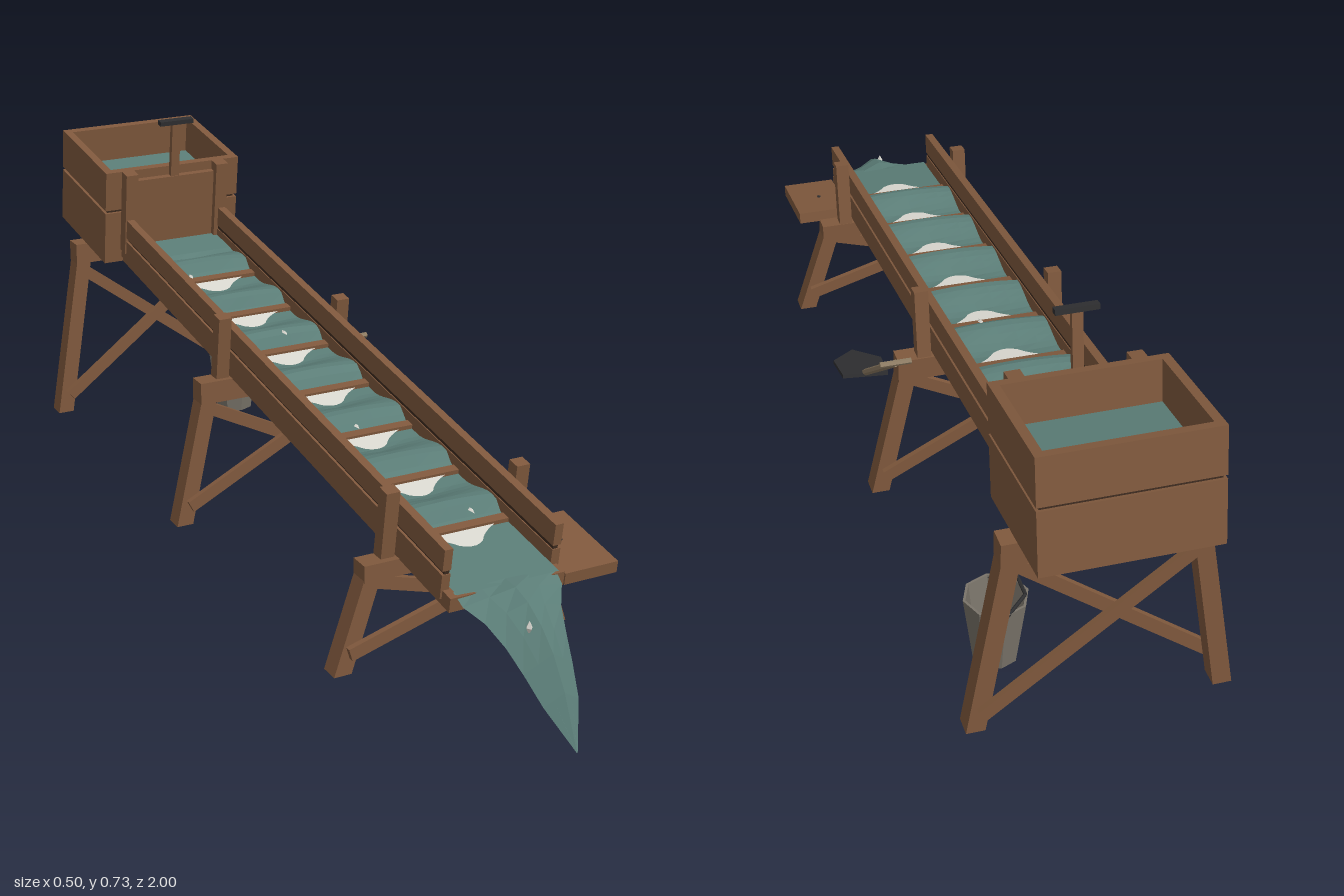
import * as THREE from 'three';

const paint = (name, color, double) => {
  const m = new THREE.MeshStandardMaterial({ color, flatShading: true });
  m.name = name;
  if (double) m.side = THREE.DoubleSide;
  return m;
};

export function createModel() {
  const wood = paint('wood', 0x80593d);
  const gapWood = paint('shadowGapWood', 0x3d2b1f);
  const water = paint('water', 0x5b7d77, true);
  const foam = paint('foam', 0xdcdad2, true);
  const iron = paint('iron', 0x2f2f31, true);
  const tin = paint('bucketMetal', 0x7a746a, true);
  const ash = paint('paleHandleWood', 0x8f7d64);

  const model = new THREE.Group();
  model.name = 'sluice';
  const add = (parent, name, geo, mat, x = 0, y = 0, z = 0) => {
    const mesh = new THREE.Mesh(geo, mat);
    mesh.name = name;
    mesh.position.set(x, y, z);
    parent.add(mesh);
    return mesh;
  };
  // box given by its min and max on each axis
  const block = (parent, name, mat, x0, x1, y0, y1, z0, z1) =>
    add(parent, name, new THREE.BoxGeometry(x1 - x0, y1 - y0, z1 - z0), mat,
      (x0 + x1) / 2, (y0 + y1) / 2, (z0 + z1) / 2);
  // round or square rod between two points
  const rod = (parent, name, mat, a, b, r, sides = 6) => {
    const va = new THREE.Vector3(...a), vb = new THREE.Vector3(...b);
    const d = vb.clone().sub(va);
    const mesh = add(parent, name, new THREE.CylinderGeometry(r, r, d.length(), sides), mat);
    mesh.position.copy(va).add(vb).multiplyScalar(0.5);
    mesh.quaternion.setFromUnitVectors(new THREE.Vector3(0, 1, 0), d.normalize());
    return mesh;
  };

  // sloping assembly: local y = height above trough underside, local z = along it
  const slope = new THREE.Group();
  slope.name = 'slopingTrough';
  slope.position.y = 0.293;
  slope.rotation.x = 0.1407;
  model.add(slope);

  // trough floor and plank walls
  block(slope, 'troughFloor', wood, -0.118, 0.118, 0, 0.029, -0.735, 0.77);
  for (const s of [-1, 1]) {
    const wall = (name, mat, xa, xb, y0, y1, z0, z1) =>
      block(slope, name, mat, Math.min(s * xa, s * xb), Math.max(s * xa, s * xb), y0, y1, z0, z1);
    wall('lowerSidePlank', wood, 0.105, 0.122, 0.012, 0.061, -0.735, 0.742);
    wall('sidePlankGap', gapWood, 0.107, 0.117, 0.061, 0.069, -0.735, 0.74);
    wall('upperSidePlank', wood, 0.105, 0.122, 0.069, 0.113, -0.735, 0.742);
    wall('gatePost', wood, 0.096, 0.125, 0.03, 0.222, -0.736, -0.708);
    for (const z of [0.565, -0.155]) wall('sidePost', wood, 0.122, 0.15, -0.005, 0.138, z - 0.014, z + 0.014);
  }

  // head box: two courses of planks with a recessed gap
  const course = (name, mat, y0, y1, inset, t) => {
    const x = 0.163 - inset, z0 = -1.01 + inset, z1 = -0.736 - inset;
    for (const s of [-1, 1]) block(slope, name, mat, s > 0 ? x - t : -x, s > 0 ? x : t - x, y0, y1, z0, z1);
    block(slope, name, mat, t - x, x - t, y0, y1, z0, z0 + t);
    block(slope, name, mat, t - x, x - t, y0, y1, z1 - t, z1);
  };
  course('lowerBoxPlank', wood, 0, 0.123, 0, 0.018);
  course('boxPlankGap', gapWood, 0.123, 0.13, 0.006, 0.011);
  course('upperBoxPlank', wood, 0.13, 0.222, 0, 0.018);
  block(slope, 'boxFloor', wood, -0.15, 0.15, 0.001, 0.02, -1, -0.745);
  block(slope, 'boxWater', water, -0.146, 0.146, 0.12, 0.14, -0.993, -0.753);

  // sliding gate with T handle
  block(slope, 'gatePanel', wood, -0.105, 0.105, 0.03, 0.201, -0.736, -0.722);
  block(slope, 'gateStem', wood, -0.01, 0.01, 0.2, 0.328, -0.736, -0.724);
  block(slope, 'gateHandle', iron, -0.04, 0.04, 0.326, 0.336, -0.738, -0.722);

  // flowing water: a hump before each riffle, a hollow after it
  const first = -0.511, step = 0.183, count = 7;
  const flowHeight = (x, z) => {
    const u = (z - first) / step;
    if (u < -0.6) return 0.045;
    if (u > count - 1 + 0.02) return 0.034;
    const t = u - Math.floor(u), edge = Math.abs(x) / 0.105;
    const rise = THREE.MathUtils.smoothstep(t, 0.3 - 0.12 * edge, 0.72);
    const fall = 1 - THREE.MathUtils.smoothstep(t, 0.76, 0.96);
    return 0.033 + 0.031 * Math.min(rise, fall) * (1 - 0.2 * edge * edge);
  };
  const flow = new THREE.PlaneGeometry(0.21, 1.49, 6, 88).rotateX(-Math.PI / 2).translate(0, 0, 0.025);
  const fp = flow.attributes.position;
  for (let i = 0; i < fp.count; i++) fp.setY(i, flowHeight(fp.getX(i), fp.getZ(i)));
  flow.computeVertexNormals();
  add(slope, 'flowingWater', flow, water);

  // riffle bars with a curved patch of foam below each
  const patch = new THREE.Shape();
  patch.moveTo(-0.075, 0);
  patch.quadraticCurveTo(-0.04, -0.018, -0.025, -0.042);
  patch.quadraticCurveTo(0, -0.062, 0.025, -0.042);
  patch.quadraticCurveTo(0.04, -0.018, 0.075, 0);
  const patchGeo = new THREE.ShapeGeometry(patch, 5).rotateX(-Math.PI / 2);
  for (let i = 0; i < count; i++) {
    const z = first + i * step;
    block(slope, 'riffle', wood, -0.105, 0.105, 0.025, 0.042, z - 0.01, z + 0.01);
    add(slope, 'riffleFoam', patchGeo, foam, 0, 0.037, z + 0.01);
  }
  // small floating foam flecks
  for (const [x, z] of [[-0.04, -0.53], [0.022, -0.18], [0.044, 0.56], [-0.005, 0.2]]) {
    const fleck = add(slope, 'foamFleck', new THREE.OctahedronGeometry(0.007), foam, x, flowHeight(x, z) + 0.002, z);
    fleck.scale.set(0.7, 0.5, 2);
  }

  // water spilling from the low end: [z, y, half width, edge drop]
  const spill = [[0.755, 0.222, 0.105, 0.004], [0.79, 0.221, 0.102, 0.02], [0.83, 0.21, 0.078, 0.03],
    [0.875, 0.185, 0.062, 0.035], [0.915, 0.15, 0.05, 0.035], [0.955, 0.095, 0.036, 0.025], [1, 0.002, 0.001, 0]];
  const cols = 4;
  const spillGeo = new THREE.PlaneGeometry(1, 1, cols, spill.length - 1);
  const sp = spillGeo.attributes.position;
  spill.forEach(([z, y, w, drop], r) => {
    for (let c = 0; c <= cols; c++) {
      const u = (c / cols) * 2 - 1;
      sp.setXYZ(r * (cols + 1) + c, u * w, y - drop * Math.abs(u), z - drop * 0.4 * Math.abs(u));
    }
  });
  spillGeo.computeVertexNormals();
  add(model, 'spillingWater', spillGeo, water);
  add(model, 'spillFleck', new THREE.OctahedronGeometry(0.008), foam, -0.02, 0.183, 0.868).scale.set(0.8, 1.7, 1);

  // side shelf by the low end, with its nail
  block(slope, 'sideShelf', wood, 0.122, 0.235, -0.002, 0.022, 0.585, 0.768);
  add(slope, 'shelfNail', new THREE.CylinderGeometry(0.004, 0.004, 0.004, 6), iron, 0.173, 0.023, 0.67);

  // three trestles: cap beam, splayed legs and crossed braces
  for (const [z, top, capH] of [[0.565, 0.212, 0.034], [-0.15, 0.313, 0.047], [-0.86, 0.413, 0.047]]) {
    const trestle = new THREE.Group();
    trestle.name = 'trestle';
    trestle.position.z = z;
    model.add(trestle);
    block(trestle, 'capBeam', wood, -0.19, 0.19, top - capH, top, -0.021, 0.021);
    const legTop = top - capH + 0.01;
    for (const s of [-1, 1]) {
      const pts = [[0.214, 0], [0.25, 0], [0.188, legTop], [0.154, legTop]].map(([x, y]) => new THREE.Vector2(s * x, y));
      const leg = new THREE.ExtrudeGeometry(new THREE.Shape(pts), { depth: 0.04, bevelEnabled: false });
      add(trestle, 'leg', leg, wood, 0, 0, -0.02);
      const ax = -s * 0.222, ay = 0.045, bx = s * 0.18, by = legTop - 0.025;
      const brace = add(trestle, 'crossBrace',
        new THREE.BoxGeometry(Math.hypot(bx - ax, by - ay), 0.026, 0.012), wood,
        (ax + bx) / 2, (ay + by) / 2, s * 0.026);
      brace.rotation.z = Math.atan((by - ay) / (bx - ax));
    }
  }

  // tapered bucket with a folded wire handle
  const bucket = new THREE.Group();
  bucket.name = 'bucket';
  bucket.position.set(0.143, 0, -0.697);
  model.add(bucket);
  add(bucket, 'bucketBody', new THREE.LatheGeometry([[0, 0.003], [0.043, 0.003], [0.062, 0.143], [0.057, 0.143],
    [0.04, 0.012], [0, 0.012]].map(p => new THREE.Vector2(...p)), 8), tin);
  const bail = [[0, 0.135, -0.06], [-0.045, 0.163, -0.035], [-0.045, 0.163, 0.035], [0, 0.135, 0.06]];
  for (let i = 0; i < 3; i++) rod(bucket, 'bucketHandle', iron, bail[i], bail[i + 1], 0.0035);

  // shovel leaning on the middle trestle
  rod(model, 'shovelShaft', ash, [0.2, 0.325, -0.19], [0.175, 0.032, 0.21], 0.0075);
  rod(model, 'shovelGrip', ash, [0.17, 0.33, -0.196], [0.233, 0.33, -0.196], 0.006);
  const blade = new THREE.Shape([[-0.05, 0.005], [0.05, 0], [0.053, -0.085], [0, -0.137], [-0.053, -0.08]]
    .map(p => new THREE.Vector2(...p)));
  const bladeGeo = new THREE.ExtrudeGeometry(blade, { depth: 0.008, bevelEnabled: false }).rotateX(-Math.PI / 2);
  const shovelBlade = add(model, 'shovelBlade', bladeGeo, iron, 0.177, 0.028, 0.2);
  shovelBlade.rotation.set(0.19, 0, 0.06);
  return model;
}
